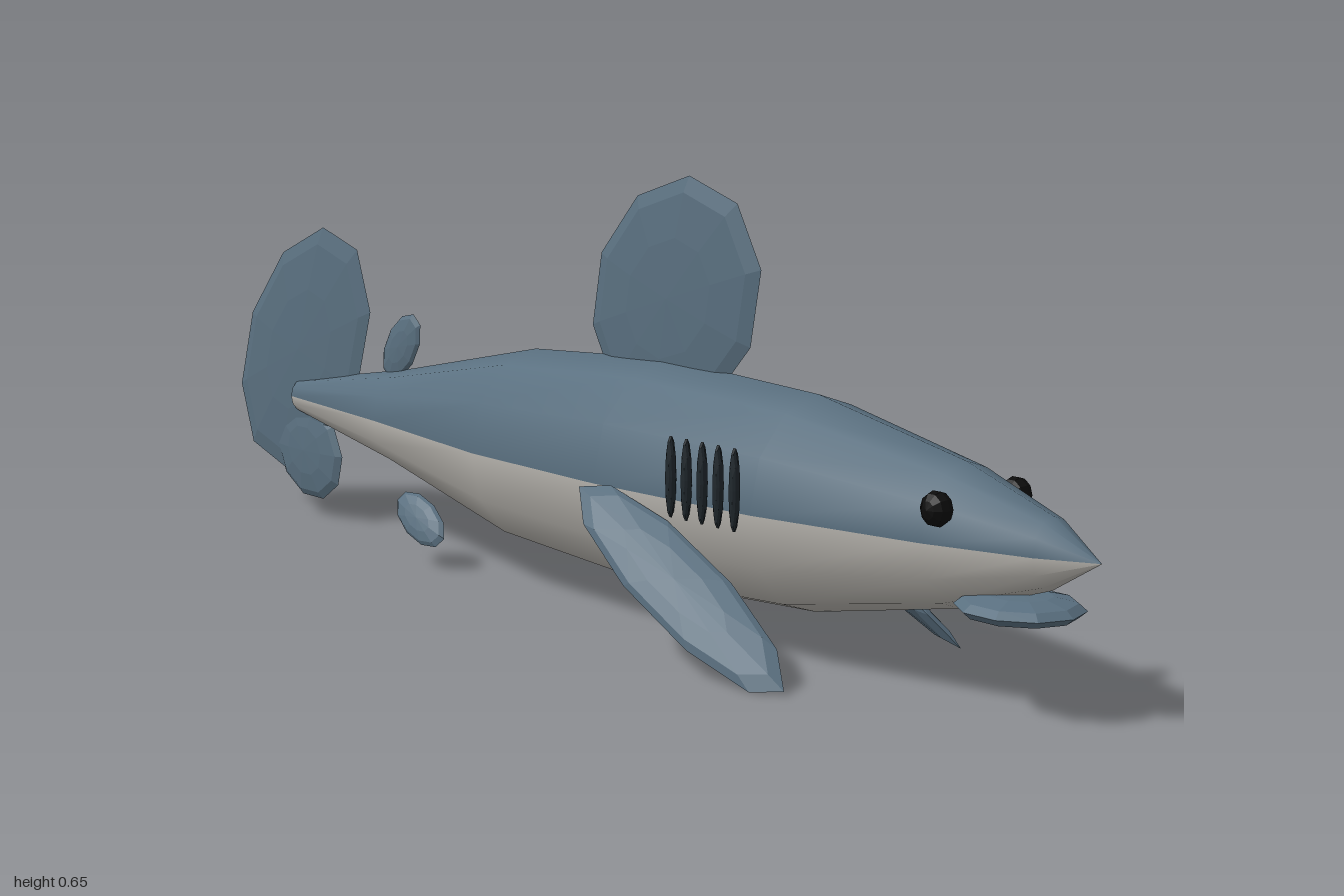
import * as THREE from 'three';

const makeMaterial = (name, color) => {
  const m = new THREE.MeshStandardMaterial({ color });
  m.name = name;
  return m;
};

export function createModel() {
  const back = makeMaterial('slate back', 0x5a7080);
  const belly = makeMaterial('pale belly', 0xb5b2ac);
  const gillDark = makeMaterial('gill dark', 0x20282d);
  const eyeBlack = makeMaterial('eye black', 0x0c0c0c);

  const model = new THREE.Group();
  model.name = 'shark';

  const add = (name, geometry, material) => {
    const mesh = new THREE.Mesh(geometry, material);
    mesh.name = name;
    model.add(mesh);
    return mesh;
  };

  // Faceted ellipsoid: outline spanned by the vectors a and b, given half thickness across them
  const lens = (name, centre, a, b, thickness, material = back) => {
    const A = new THREE.Vector3(...a);
    const B = new THREE.Vector3(...b);
    const C = new THREE.Vector3().crossVectors(A, B).setLength(thickness);
    const basis = new THREE.Matrix4().makeBasis(A, B, C).setPosition(...centre);
    const geometry = new THREE.SphereGeometry(1, 10, 6).rotateX(Math.PI / 2)
      .applyMatrix4(basis).toNonIndexed();
    geometry.computeVertexNormals();
    return add(name, geometry, material);
  };

  // Body: spindle of twelve sides, split along the flank into back and belly
  const axisY = 0.217;
  const profile = [
    [0.029, -0.79], [0.08, -0.47], [0.152, -0.115], [0.169, 0.195],
    [0.152, 0.505], [0.097, 0.77], [0.047, 0.915], [0, 0.99],
  ].map(([r, x]) => new THREE.Vector2(r, x));
  const widthRatio = 0.84;
  for (const [name, start, material] of [['back', Math.PI, back], ['belly', 0, belly]]) {
    const half = new THREE.LatheGeometry(profile, 6, start, Math.PI)
      .rotateZ(-Math.PI / 2).scale(1, 1, widthRatio).translate(0, axisY, 0);
    add(name, half, material);
    // Flat stump closing the tail end
    const cap = new THREE.CircleGeometry(0.029, 6, start + Math.PI, Math.PI)
      .rotateY(-Math.PI / 2).scale(1, 1, widthRatio).translate(-0.79, axisY, 0);
    add(name + 'TailEnd', cap, material);
  }

  // Fins on the centre line
  lens('dorsalFin', [0.207, 0.475, 0], [0.183, 0.055, 0], [-0.025, 0.171, 0], 0.015);
  lens('rearDorsalFin', [-0.48, 0.335, 0], [0.053, 0.01, 0], [0.02, 0.058, 0], 0.009);
  lens('upperTailFin', [-0.785, 0.3, 0], [0.213, 0.085, 0], [0.005, 0.206, 0], 0.013);
  lens('lowerTailFin', [-0.77, 0.12, 0], [0.105, 0, 0], [-0.01, 0.088, 0], 0.014);

  // Lower jaw
  lens('jaw', [0.865, 0.14, 0], [0.085, 0, 0], [0, 0, 0.082], 0.019);

  // Paired parts on both flanks
  for (const [suffix, s] of [['Front', 1], ['Rear', -1]]) {
    lens('pectoralFin' + suffix, [0.41, 0.112, 0.172 * s],
      [0.21, -0.105, 0], [0, -0.042, 0.043 * s], 0.015);
    lens('pelvicFin' + suffix, [-0.31, 0.077, 0.086 * s],
      [0.065, -0.022, 0], [0, -0.032, 0.014 * s], 0.011);
    lens('eye' + suffix, [0.79, 0.264, 0.076 * s],
      [0.022, 0, 0], [0, 0.024, 0], 0.02, eyeBlack);
    for (let i = 0; i < 5; i++) {
      lens('gill' + suffix + (i + 1), [0.358 + i * 0.032, 0.25, 0.138 * s],
        [0.008, 0, 0], [0, 0.06, 0], 0.008, gillDark);
    }
  }
  return model;
}
